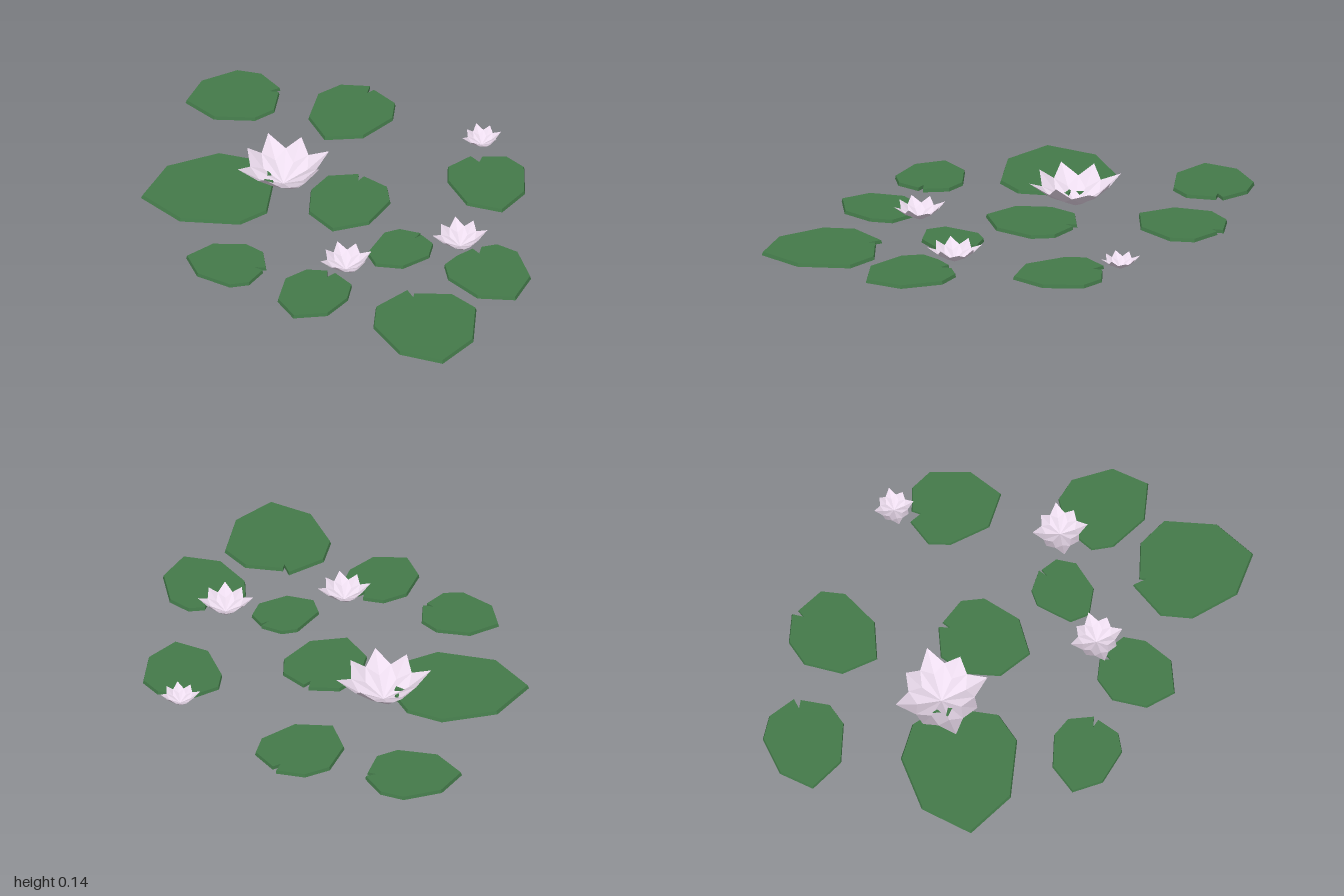
import * as THREE from 'three';

const green = new THREE.MeshStandardMaterial({ color: 0x447a4a, flatShading: true });
const pink = new THREE.MeshStandardMaterial({ color: 0xecdcee, flatShading: true, side: THREE.DoubleSide });

// Thin floating leaf; the corners (x, z pairs) run from one lip of the notch round to the other
function lilyPad(...xz) {
  const pts = [];
  for (let i = 0; i < xz.length; i += 2) pts.push(new THREE.Vector2(xz[i], xz[i + 1]));
  const centre = pts.reduce((s, p) => s.add(p), new THREE.Vector2()).divideScalar(pts.length);
  const notch = pts[0].clone().add(pts[pts.length - 1]).multiplyScalar(0.5);
  notch.add(centre.clone().sub(notch).setLength(0.045));
  pts.push(notch);

  const geo = new THREE.ExtrudeGeometry(new THREE.Shape(pts), { depth: 0.016, bevelEnabled: false });
  geo.rotateX(Math.PI / 2).translate(0, 0.041, 0);
  // Top face slightly smaller than the bottom, for a sloping rim
  const p = geo.attributes.position;
  for (let i = 0; i < p.count; i++) {
    if (p.getY(i) < 0.035) continue;
    p.setX(i, centre.x + (p.getX(i) - centre.x) * 0.98);
    p.setZ(i, centre.y + (p.getZ(i) - centre.y) * 0.98);
  }
  geo.computeVertexNormals();
  const mesh = new THREE.Mesh(geo, green);
  mesh.name = 'lilyPad';
  return mesh;
}

// Eight folded petals, alternately long and short, meeting in a point below
function blossomGeometry() {
  const at = (r, y, a) => [r * Math.cos(a), y, r * Math.sin(a)];
  const step = Math.PI / 4;
  const base = [0, 0, 0];
  const v = [];
  for (let i = 0; i < 8; i++) {
    const a = i * step;
    const long = i % 2 === 1;
    const tip = long ? at(0.217, 0.13, a) : at(0.182, 0.14, a);
    const rib = at(long ? 0.115 : 0.1, 0.05, a);
    const left = at(0.15, 0.087, a - step / 2);
    const right = at(0.15, 0.087, a + step / 2);
    v.push(base, rib, left, base, right, rib, left, rib, tip, rib, right, tip);
  }
  const geo = new THREE.BufferGeometry();
  geo.setAttribute('position', new THREE.Float32BufferAttribute(v.flat(), 3));
  geo.computeVertexNormals();
  return geo;
}

export function createModel() {
  const model = new THREE.Group();
  model.name = 'waterLilies';

  // Leaves
  model.add(
    lilyPad(-0.27, -0.853, -0.14, -0.805, -0.1, -0.7, -0.16, -0.52, -0.31, -0.43, -0.445, -0.537, -0.485, -0.71, -0.425, -0.82, -0.3, -0.87),
    lilyPad(-0.02, -0.25, 0.11, -0.225, 0.17, -0.135, 0.155, 0.05, 0.03, 0.17, -0.125, 0.1, -0.19, -0.05, -0.17, -0.18, -0.05, -0.255),
    lilyPad(0.41, 0.03, 0.485, 0.065, 0.51, 0.155, 0.44, 0.28, 0.32, 0.32, 0.25, 0.26, 0.25, 0.09, 0.3, 0.035, 0.4, 0.02),
    lilyPad(0.69, -0.01, 0.745, -0.06, 0.855, -0.05, 0.99, 0.09, 1, 0.265, 0.84, 0.33, 0.66, 0.265, 0.6, 0.185, 0.62, 0.1, 0.66, 0.02),
    lilyPad(0.575, 0.44, 0.73, 0.365, 0.875, 0.41, 0.97, 0.63, 0.92, 0.84, 0.715, 0.865, 0.52, 0.74, 0.465, 0.605, 0.535, 0.43),
    lilyPad(0.19, 0.46, 0.295, 0.505, 0.325, 0.605, 0.295, 0.75, 0.165, 0.835, 0.045, 0.755, 0.005, 0.6, 0.06, 0.495, 0.15, 0.46),
    lilyPad(-0.11, 0.59, -0.125, 0.7, -0.195, 0.755, -0.365, 0.745, -0.47, 0.645, -0.405, 0.51, -0.265, 0.445, -0.17, 0.465, -0.105, 0.565),
    lilyPad(-0.645, -0.645, -0.605, -0.515, -0.655, -0.42, -0.825, -0.345, -0.995, -0.4, -1, -0.565, -0.89, -0.71, -0.78, -0.735, -0.655, -0.675),
    lilyPad(0.39, -0.62, 0.49, -0.67, 0.595, -0.635, 0.68, -0.47, 0.65, -0.3, 0.485, -0.275, 0.33, -0.39, 0.285, -0.48, 0.34, -0.6),
    lilyPad(-0.37, -0.04, -0.295, 0.18, -0.365, 0.31, -0.62, 0.41, -0.855, 0.33, -0.855, 0.08, -0.685, -0.115, -0.515, -0.145, -0.4, -0.08)
  );

  // Blossoms: x, y, z, scale, turn
  const blossom = blossomGeometry();
  for (const [x, y, z, s, turn] of [
    [-0.345, 0, -0.085, 1, 0],
    [0.352, 0.047, -0.69, 0.42, -0.05],
    [0.217, 0.035, 0.41, 0.56, 0],
    [0.6, 0.035, 0.025, 0.58, -0.15],
  ]) {
    const flower = new THREE.Mesh(blossom, pink);
    flower.name = 'blossom';
    flower.position.set(x, y, z);
    flower.scale.setScalar(s);
    flower.rotation.y = turn;
    model.add(flower);
  }
  return model;
}
